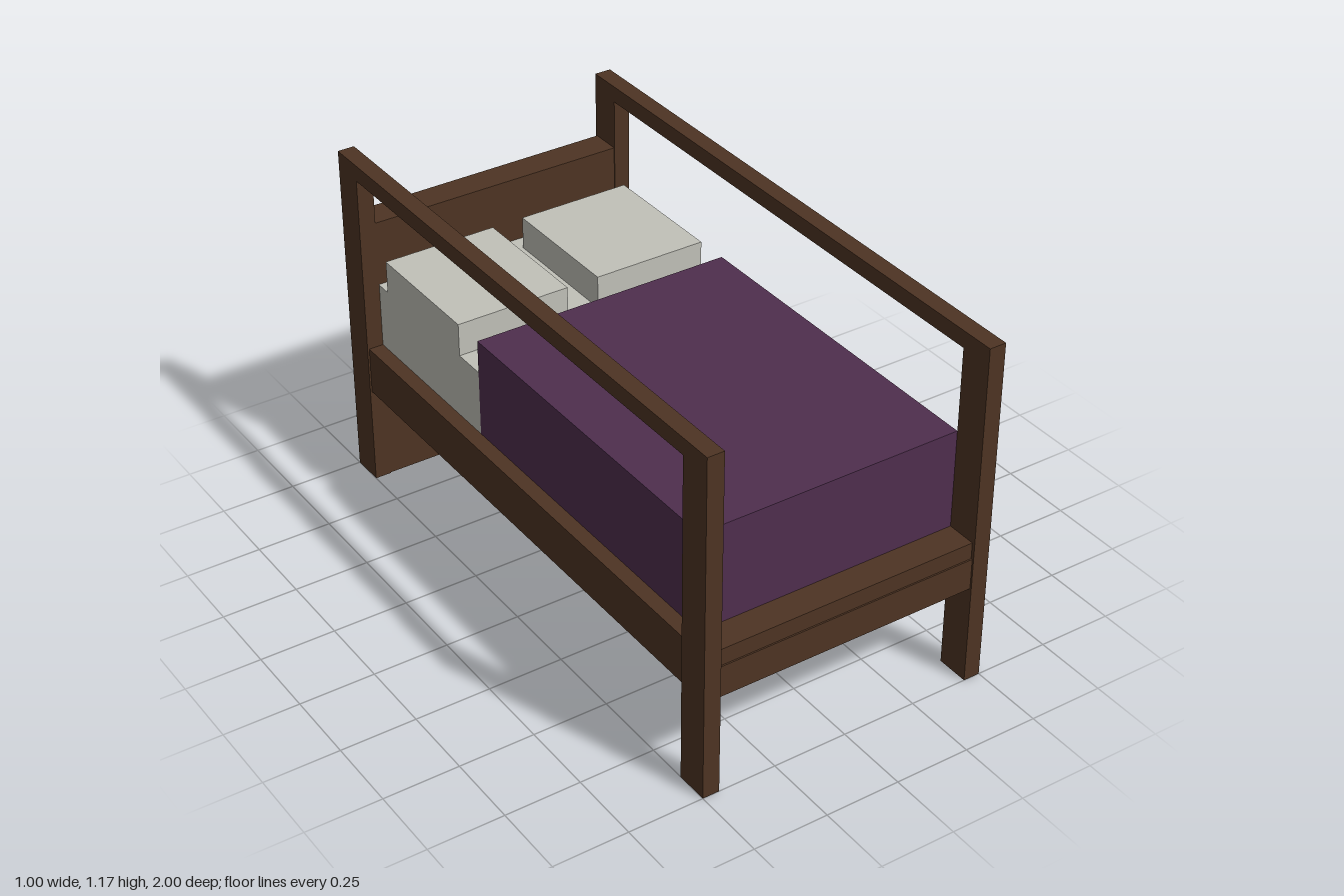
import * as THREE from 'three';

export function createModel() {
  const model = new THREE.Group();
  model.name = 'bed';

  const material = (name, color) => {
    const m = new THREE.MeshStandardMaterial({ color });
    m.name = name;
    return m;
  };
  const wood = material('dark wood', 0x4e3423);
  const purple = material('purple blanket', 0x4f2e4e);
  const linen = material('pale linen', 0xc1c1b9);

  // Box given by its minimum and maximum on each axis
  const box = (name, mat, [x0, x1], [y0, y1], [z0, z1]) => {
    const mesh = new THREE.Mesh(new THREE.BoxGeometry(x1 - x0, y1 - y0, z1 - z0), mat);
    mesh.position.set((x0 + x1) / 2, (y0 + y1) / 2, (z0 + z1) / 2);
    mesh.name = name;
    model.add(mesh);
  };
  // Range on the left (+1) or right (-1) side
  const sided = (s, a, b) => (s > 0 ? [a, b] : [-b, -a]);

  const inner = 0.444;
  const outer = 0.5;
  const across = [-inner, inner];

  for (const s of [1, -1]) {
    const side = s > 0 ? 'left' : 'right';
    // Corner posts, upper handrail and lower side rail
    box(side + 'FrontPost', wood, sided(s, inner, outer), [0, 1.167], [0.889, 1]);
    box(side + 'BackPost', wood, sided(s, inner, outer), [0, 1.167], [-1, -0.889]);
    box(side + 'Handrail', wood, sided(s, inner, outer), [1.112, 1.167], [-0.889, 0.889]);
    box(side + 'SideRail', wood, sided(s, inner, 0.494), [0.338, 0.5], [-0.889, 0.889]);
    // Pillow, flush with the mattress side
    box(side + 'Pillow', linen, sided(s, 0.055, inner), [0.722, 0.833], [-0.835, -0.39]);
  }

  // Boards at both ends and the base under the mattress
  box('headboard', wood, across, [0, 0.944], [-0.994, -0.892]);
  box('footboard', wood, across, [0.338, 0.444], [0.889, 0.994]);
  box('footboardCap', wood, across, [0.444, 0.5], [0.889, 0.989]);
  box('base', wood, across, [0.338, 0.5], [-0.892, 0.889]);

  // Bedding
  box('mattress', linen, across, [0.5, 0.722], [-0.892, -0.278]);
  box('blanket', purple, across, [0.5, 0.833], [-0.278, 0.889]);

  return model;
}
